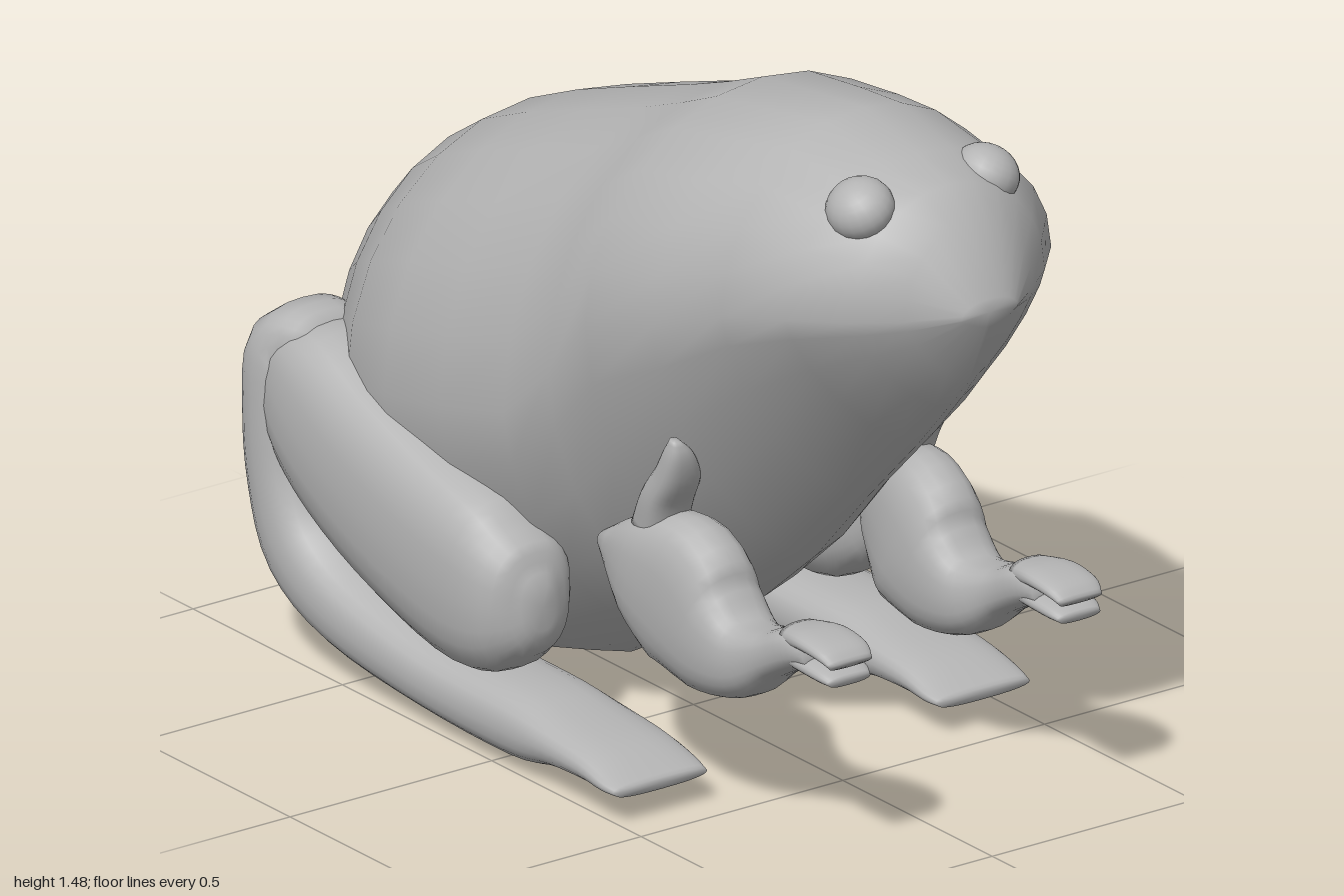
import * as THREE from 'three';

const SIDES = 24;
const skin = new THREE.MeshStandardMaterial({ color: 0xb4b4b4 });
skin.name = 'grey skin';

// Signed power, for squarer or sharper ellipses
const spow = (v, e) => Math.sign(v) * Math.abs(v) ** e;

// Skin a list of equal-sized rings and close both ends
function loft(rings) {
  const n = rings[0].length, pos = [], idx = [];
  for (const ring of rings) for (const p of ring) pos.push(p.x, p.y, p.z);
  for (let i = 0; i < rings.length - 1; i++) {
    for (let j = 0; j < n; j++) {
      const k = (j + 1) % n;
      const a = i * n + j, b = i * n + k, c = a + n, d = b + n;
      idx.push(a, b, c, b, d, c);
    }
  }
  const last = rings.length - 1;
  for (const i of [0, last]) {
    const mid = new THREE.Vector3();
    rings[i].forEach(p => mid.addScaledVector(p, 1 / n));
    const m = pos.length / 3;
    pos.push(mid.x, mid.y, mid.z);
    for (let j = 0; j < n; j++) {
      const a = i * n + j, b = i * n + (j + 1) % n;
      if (i === 0) idx.push(m, b, a); else idx.push(m, a, b);
    }
  }
  const g = new THREE.BufferGeometry();
  g.setAttribute('position', new THREE.Float32BufferAttribute(pos, 3));
  g.setIndex(idx);
  g.computeVertexNormals();
  return g;
}

// Limb along a smooth path; each point is [x, y, z, half width, half thickness]
function limb(name, points, side, steps = 4) {
  const path = new THREE.CatmullRomCurve3(
    points.map(p => new THREE.Vector3(p[0] * side, p[1], p[2])), false, 'catmullrom', 0.5);
  const size = new THREE.CatmullRomCurve3(
    points.map(p => new THREE.Vector3(p[3], p[4], 0)), false, 'catmullrom', 0.5);
  const count = (points.length - 1) * steps, rings = [];
  for (let i = 0; i <= count; i++) {
    const t = i / count;
    const c = path.getPoint(t), s = size.getPoint(t), d = path.getTangent(t);
    const len = Math.hypot(d.y, d.z);
    const ring = [];
    for (let j = 0; j < SIDES; j++) {
      const a = j / SIDES * Math.PI * 2;
      const u = spow(Math.sin(a), 0.8) * Math.max(s.y, 0.002);
      ring.push(new THREE.Vector3(
        c.x + spow(Math.cos(a), 0.8) * Math.max(s.x, 0.002),
        c.y + u * d.z / len,
        c.z - u * d.y / len));
    }
    rings.push(ring);
  }
  return part(name, loft(rings));
}

function part(name, geometry) {
  const mesh = new THREE.Mesh(geometry, skin);
  mesh.name = name;
  return mesh;
}

// Body sections from rump to snout: [z, top, widest height, bottom, half width]
const BODY = [
  [-1.0, 0.44, 0.39, 0.35, 0.08],
  [-0.97, 0.58, 0.43, 0.295, 0.14],
  [-0.9, 0.80, 0.5, 0.235, 0.215],
  [-0.8, 0.93, 0.54, 0.165, 0.295],
  [-0.68, 1.04, 0.58, 0.07, 0.375],
  [-0.54, 1.13, 0.62, 0.012, 0.455],
  [-0.38, 1.2, 0.66, 0.0, 0.48],
  [-0.2, 1.265, 0.69, 0.05, 0.475],
  [0.0, 1.335, 0.74, 0.16, 0.465],
  [0.12, 1.38, 0.86, 0.23, 0.445],
  [0.24, 1.43, 1.0, 0.31, 0.44],
  [0.42, 1.455, 1.05, 0.46, 0.41],
  [0.58, 1.475, 1.11, 0.63, 0.355],
  [0.76, 1.435, 1.155, 0.81, 0.33],
  [0.86, 1.4, 1.16, 0.92, 0.24],
  [0.93, 1.345, 1.165, 1.0, 0.16],
  [1.0, 1.2, 1.17, 1.14, 0.07],
];

function makeBody() {
  const rings = BODY.map(([z, top, mid, bottom, w]) => {
    // The belly tapers downwards, most of all at the throat
    const sharp = 1.2 + 0.3 * THREE.MathUtils.smoothstep(z, 0.1, 0.75);
    const ring = [];
    for (let j = 0; j < SIDES; j++) {
      const a = j / SIDES * Math.PI * 2, c = Math.cos(a), s = Math.sin(a);
      const x = s < 0 ? spow(c, sharp) : c;
      const y = s < 0 ? spow(s, sharp) * (mid - bottom) : s * (top - mid);
      ring.push(new THREE.Vector3(x * w - 0.006, mid + y, z));
    }
    return ring;
  });
  return part('body', loft(rings));
}

const THIGH = [
  [0.42, 0.33, 0.065, 0.03, 0.05],
  [0.42, 0.33, 0.02, 0.1, 0.13],
  [0.425, 0.34, -0.1, 0.125, 0.192],
  [0.425, 0.4, -0.32, 0.132, 0.2],
  [0.42, 0.48, -0.53, 0.132, 0.19],
  [0.405, 0.56, -0.68, 0.13, 0.165],
  [0.4, 0.605, -0.78, 0.1, 0.09],
];
// Shin and foot run on as one piece
const SHIN_AND_FOOT = [
  [0.4, 0.67, -0.65, 0.08, 0.05],
  [0.4, 0.635, -0.755, 0.12, 0.085],
  [0.4, 0.5, -0.765, 0.13, 0.085],
  [0.4, 0.35, -0.745, 0.13, 0.09],
  [0.4, 0.22, -0.68, 0.13, 0.1],
  [0.4, 0.14, -0.53, 0.125, 0.092],
  [0.4, 0.093, -0.25, 0.12, 0.077],
  [0.4, 0.085, 0.05, 0.12, 0.076],
  [0.4, 0.09, 0.19, 0.12, 0.053],
  [0.4, 0.087, 0.31, 0.12, 0.038],
  [0.4, 0.075, 0.39, 0.12, 0.023],
  [0.4, 0.07, 0.435, 0.112, 0.013],
];
const ARM = [
  [0.32, 0.5, 0.17, 0.03, 0.02],
  [0.305, 0.475, 0.28, 0.075, 0.125],
  [0.285, 0.44, 0.39, 0.09, 0.178],
  [0.28, 0.385, 0.49, 0.092, 0.135],
  [0.28, 0.37, 0.59, 0.08, 0.085],
  [0.285, 0.41, 0.69, 0.065, 0.05],
  [0.285, 0.455, 0.78, 0.063, 0.045],
  [0.285, 0.465, 0.85, 0.06, 0.03],
];
const UPPER_FINGER = [
  [0.285, 0.475, 0.76, 0.05, 0.025],
  [0.285, 0.488, 0.83, 0.063, 0.021],
  [0.285, 0.482, 0.9, 0.062, 0.017],
  [0.285, 0.465, 0.933, 0.052, 0.009],
];
const LOWER_FINGER = [
  [0.285, 0.44, 0.76, 0.05, 0.025],
  [0.285, 0.44, 0.83, 0.06, 0.02],
  [0.285, 0.436, 0.9, 0.06, 0.017],
  [0.285, 0.428, 0.93, 0.05, 0.01],
];
const SHOULDER_TIP = [
  [0.3, 0.56, 0.31, 0.055, 0.05],
  [0.305, 0.64, 0.345, 0.058, 0.04],
  [0.31, 0.7, 0.385, 0.05, 0.036],
  [0.325, 0.755, 0.41, 0.032, 0.027],
  [0.34, 0.79, 0.418, 0.01, 0.012],
];

export function createModel() {
  const model = new THREE.Group();
  model.name = 'frog';
  model.add(makeBody());

  for (const side of [1, -1]) {
    const label = side > 0 ? 'left' : 'right';

    // Folded hind leg
    const leg = new THREE.Group();
    leg.name = label + 'HindLeg';
    leg.add(limb('thigh', THIGH, side), limb('shinAndFoot', SHIN_AND_FOOT, side));
    model.add(leg);

    // Raised front leg
    const arm = new THREE.Group();
    arm.name = label + 'FrontLeg';
    arm.position.x = -0.015;
    arm.add(
      limb('arm', ARM, side),
      limb('shoulderTip', SHOULDER_TIP, side),
      limb('upperFinger', UPPER_FINGER, side),
      limb('lowerFinger', LOWER_FINGER, side));
    model.add(arm);

    // Bulging eye, tilted outwards
    const eye = part(label + 'Eye', new THREE.SphereGeometry(0.07, 20, 14));
    eye.scale.set(1, 0.88, 1.05);
    eye.rotation.z = -side * 0.5;
    eye.position.set(side * 0.155 - 0.017, 1.366, 0.79);
    model.add(eye);
  }
  return model;
}
